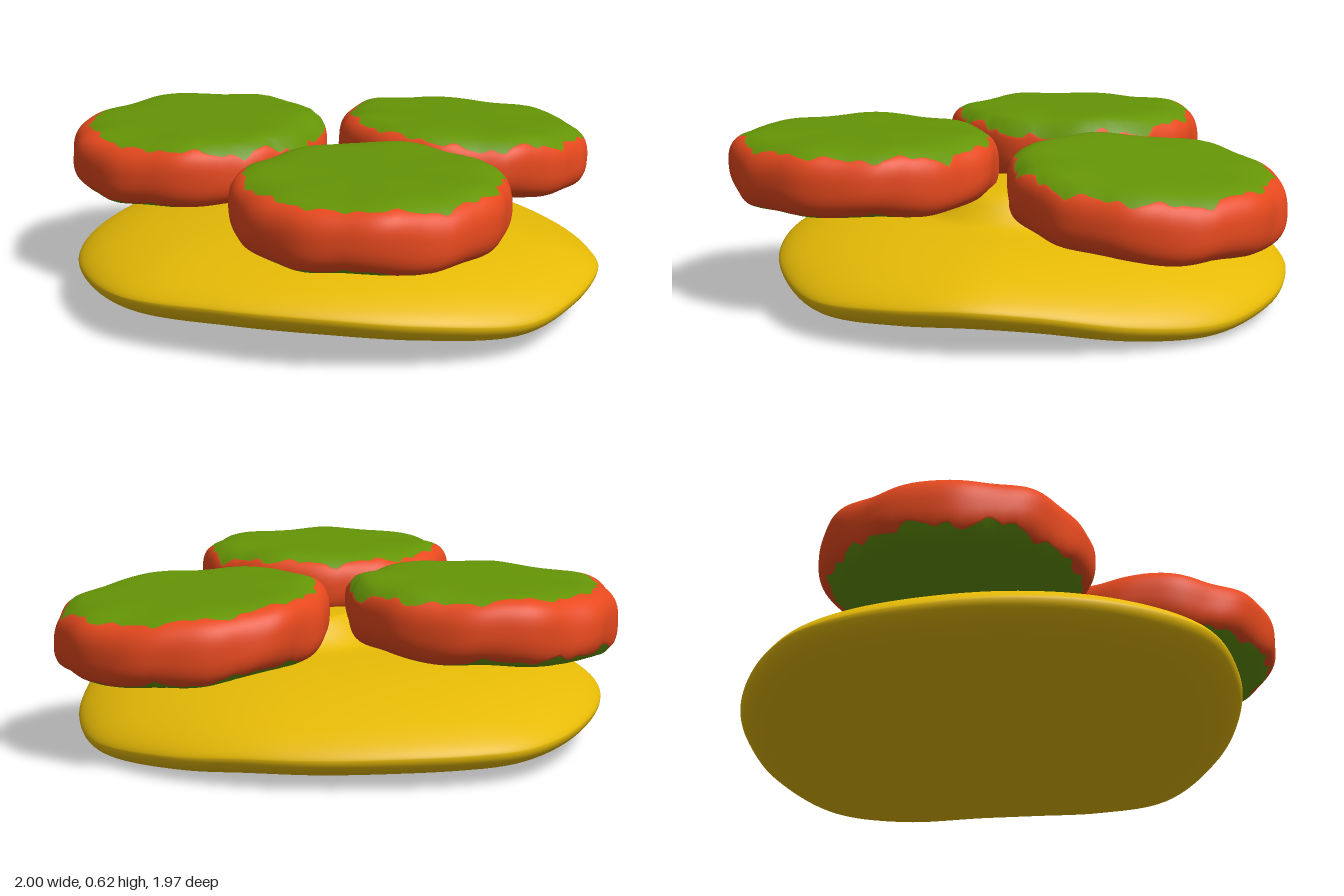
import * as THREE from 'three';

const mat = (name, color) => Object.assign(new THREE.MeshStandardMaterial({ color }), { name });

// Closed smooth surface from rings that run from the top pole to the bottom pole
function ringSurface(rows, cols, point, bands) {
  const pos = [], index = [];
  for (let i = 0; i <= rows; i++)
    for (let j = 0; j < cols; j++) pos.push(...point(i, j));
  for (let i = 0; i < rows; i++)
    for (let j = 0; j < cols; j++) {
      const k = (j + 1) % cols;
      const a = i * cols + j, b = a + cols, c = i * cols + k, d = c + cols;
      if (i > 0) index.push(a, c, b);
      else index.push(a, d, b);
      if (i > 0 && i < rows - 1) index.push(c, d, b);
    }
  const g = new THREE.BufferGeometry();
  g.setAttribute('position', new THREE.Float32BufferAttribute(pos, 3));
  g.setIndex(index);
  g.computeVertexNormals();
  // pole rings have one triangle per column, the others two
  if (bands) {
    const start = (row) => (row === 0 ? 0 : row === rows ? index.length : (2 * row - 1) * cols * 3);
    bands.forEach(([from, to, m]) => g.addGroup(start(from), start(to) - start(from), m));
  }
  return g;
}

// Curved base: outline points are x, rim height, z
function baseGeometry() {
  const outline = new THREE.CatmullRomCurve3([
    [1, 0.17, 0.03], [0.95, 0.155, 0.3], [0.81, 0.14, 0.57], [0.5, 0.175, 0.76], [0.15, 0.2, 0.83],
    [-0.2, 0.2, 0.81], [-0.58, 0.18, 0.69], [-0.82, 0.165, 0.39], [-0.92, 0.15, 0.02],
    [-0.89, 0.13, -0.42], [-0.79, 0.12, -0.65], [-0.64, 0.12, -0.78], [-0.43, 0.12, -0.89],
    [-0.17, 0.115, -0.97], [0.08, 0.11, -0.99], [0.35, 0.09, -0.95], [0.68, 0.075, -0.78],
    [0.86, 0.1, -0.52], [0.96, 0.15, -0.2],
  ].map((p) => new THREE.Vector3(...p)), true);
  const cols = 144, half = 40, cx = 0.03, cz = -0.07;
  const rim = outline.getSpacedPoints(cols);
  return ringSurface(half * 2, cols, (i, j) => {
    const r = Math.min(1, Math.sin((i / half) * Math.PI / 2));
    const p = rim[j];
    const x = cx + (p.x - cx) * r, z = cz + (p.z - cz) * r;
    let y;
    if (i <= half) {
      y = p.y + (0.335 + 0.03 * z - p.y) * Math.pow(Math.max(0, 1 - r ** 2.6), 0.65);
      y += 0.1 / (1 + (Math.hypot(x - 0.18, z) / 0.225) ** 12); // raised middle
    } else {
      y = p.y + (0.1 - p.y) * (1 - r * r) - 0.185 * r * r * Math.sqrt(Math.max(0, 1 - r * r));
    }
    return [x, y, z];
  });
}

// Wavy round slice with a coloured cap above and below a rounded rind
function sliceGeometry(seed, shiftX, shiftZ, slopeX, slopeZ) {
  const cols = 144, cap = 16, side = 18, rows = cap * 2 + side;
  const R = 0.476, H = 0.124;
  return ringSurface(rows, cols, (i, j) => {
    const t = (j / cols) * Math.PI * 2;
    const top = i < rows / 2, dir = top ? 1 : -1;
    const jag = 0.007 * Math.sin(11 * t + seed) + 0.006 * Math.sin(23 * t + seed * 2) + 0.003 * Math.sin(41 * t);
    const shift = dir * (shiftX * Math.cos(t) + shiftZ * Math.sin(t));
    const edge = Math.min(0.985, ((top ? 0.437 : 0.428) + jag + shift) / R);
    const phiEdge = Math.acos(edge ** 5);
    let r, y;
    if (i < cap || i > cap + side) {
      r = edge * (top ? i : rows - i) / cap;
      y = dir * Math.pow(1 - r ** 10, 0.4);
    } else {
      const otherEdge = Math.acos(Math.min(0.985, (0.428 + jag - shiftX * Math.cos(t) - shiftZ * Math.sin(t)) / R) ** 5);
      const topEdge = Math.acos(Math.min(0.985, (0.437 + jag + shiftX * Math.cos(t) + shiftZ * Math.sin(t)) / R) ** 5);
      const phi = THREE.MathUtils.lerp(topEdge, -otherEdge, (i - cap) / side);
      r = Math.pow(Math.cos(phi), 0.2);
      y = Math.sign(phi) * Math.pow(Math.abs(Math.sin(phi)), 0.8);
    }
    // lobed outline and rippled rim
    const lobes = 0.01 * Math.sin(12 * t + seed + y) + 0.006 * Math.sin(7 * t + y * 2 + seed);
    const rad = R * r * (1 + r * r * lobes);
    const x = rad * Math.cos(t), z = rad * Math.sin(t);
    const ripple = r ** 4 * (0.009 * Math.sin(7 * t + seed + y) + 0.006 * Math.sin(4 * t - seed));
    return [x, H * y + ripple + slopeX * x + slopeZ * z, z];
  }, [[0, cap, 0], [cap, cap + side, 1], [cap + side, rows, 0]]);
}

export function createModel() {
  const model = new THREE.Group();
  const yellow = mat('yellow', 0xe6ba06);
  const green = mat('green', 0x659506);
  const red = mat('red', 0xe94a1e);

  const base = new THREE.Mesh(baseGeometry(), yellow);
  base.name = 'base';
  model.add(base);

  // name, centre, seed, cap offset, slope
  [
    ['backSlice', [0.427, 0.453, -0.51], 1, [0.012, 0.012], [-0.055, 0.075]],
    ['sideSlice', [-0.522, 0.488, -0.157], 2.7, [0.035, 0], [0.035, 0]],
    ['frontSlice', [0.255, 0.503, 0.505], 4.4, [0.008, -0.01], [0.005, 0]],
  ].forEach(([name, centre, seed, shift, slope]) => {
    const slice = new THREE.Mesh(sliceGeometry(seed, ...shift, ...slope), [green, red]);
    slice.name = name;
    slice.position.set(...centre);
    model.add(slice);
  });
  return model;
}
